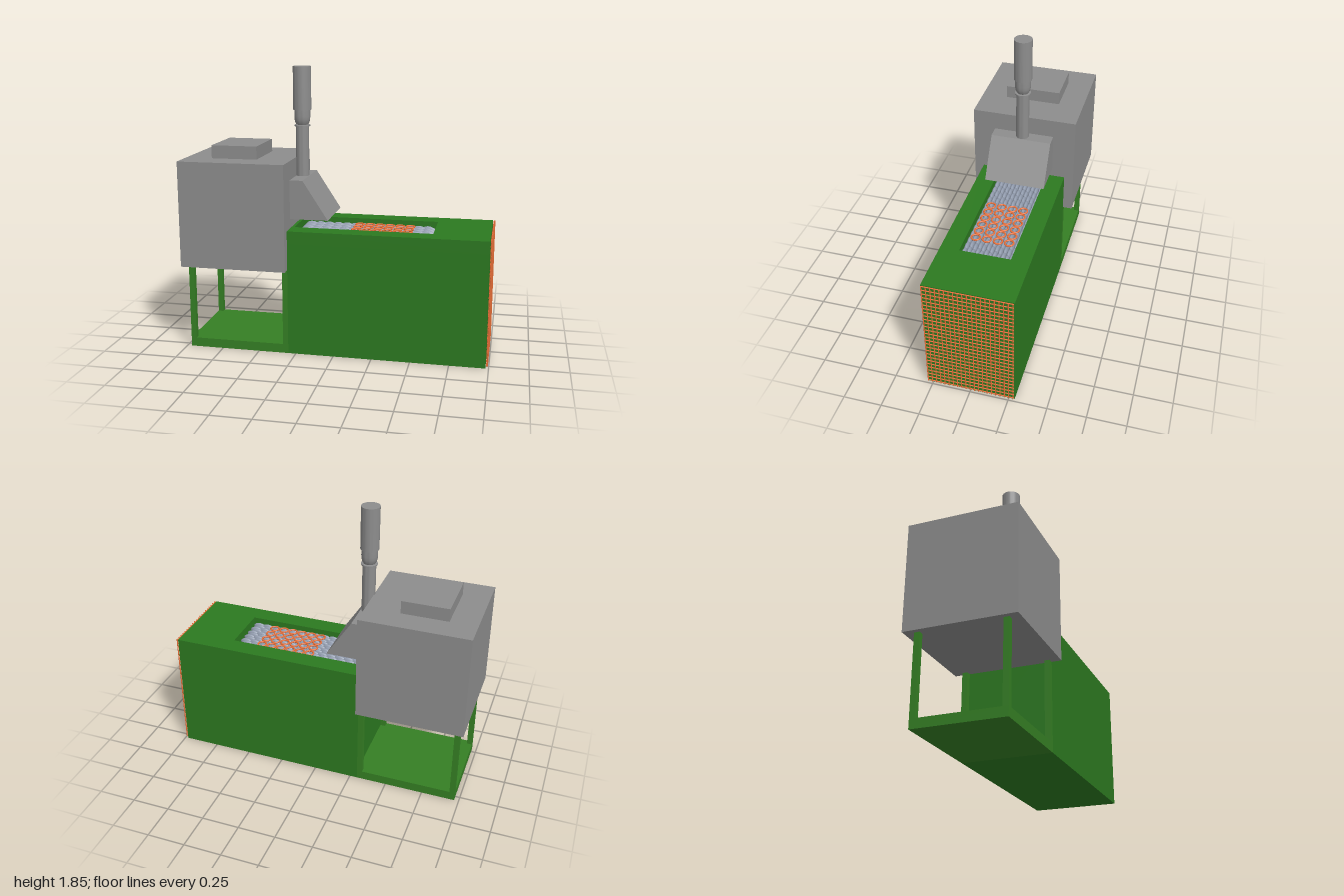
import * as THREE from 'three';
import { mergeGeometries, toCreasedNormals } from 'three/addons/utils/BufferGeometryUtils.js';

const material = (color) => new THREE.MeshStandardMaterial({ color });

export function createModel() {
  const model = new THREE.Group();
  const grey = material(0x8d8d8d);
  const green = material(0x2c7920);
  const lightGreen = material(0x357f24);
  const orange = material(0xec7038);
  const steel = material(0x929cae);

  const add = (name, geometry, mat) => {
    const mesh = new THREE.Mesh(geometry, mat);
    mesh.name = name;
    model.add(mesh);
    return mesh;
  };
  // Box given by its limits on each axis
  const box = (x0, x1, y0, y1, z0, z1) =>
    new THREE.BoxGeometry(x1 - x0, y1 - y0, z1 - z0)
      .translate((x0 + x1) / 2, (y0 + y1) / 2, (z0 + z1) / 2);

  const W = 0.288; // half width of the green frame
  const P = 0.035; // post thickness

  // Base plate and the posts under the tower
  add('basePlate', box(-0.97, -0.3, 0, 0.06, -W, W), lightGreen);
  for (const x of [-0.97, -0.335]) {
    for (const z of [-W, W - P]) add('post', box(x, x + P, 0.06, 0.57, z, z + P), lightGreen);
  }

  // Cabinet body with a recessed opening in its top frame
  const floorY = 0.74, topY = 0.825;
  add('cabinetBody', box(-0.3, 0.98, 0, floorY, -W, W), green);
  const rect = (target, x0, x1, z) => {
    target.moveTo(x0, -z);
    target.lineTo(x1, -z);
    target.lineTo(x1, z);
    target.lineTo(x0, z);
    target.closePath();
    return target;
  };
  const frame = rect(new THREE.Shape(), -0.3, 0.98, W);
  frame.holes.push(rect(new THREE.Path(), -0.28, 0.622, 0.165));
  add('cabinetTopFrame', new THREE.ExtrudeGeometry(frame, { depth: topY - floorY, bevelEnabled: false })
    .rotateX(-Math.PI / 2).translate(0, floorY, 0), green);

  // Bed of slim steel links filling the opening, alternate rows staggered
  const links = [];
  for (let j = 0; j < 12; j++) {
    for (let i = 0; i < 14; i++) {
      const x = -0.235 + i * 0.061 + (j % 2) * 0.018;
      links.push(new THREE.SphereGeometry(1, 12, 8)
        .scale(0.044, 0.028, 0.0145)
        .translate(x, 0.768, (j - 5.5) * 0.0274));
    }
  }
  add('linkBed', mergeGeometries(links), steel);

  // Rings lying on the bed
  const rings = [];
  for (let i = 0; i < 6; i++) {
    for (let j = 0; j < 4; j++) {
      rings.push(new THREE.TorusGeometry(0.028, 0.0055, 8, 24)
        .rotateX(Math.PI / 2)
        .translate(0.105 + i * 0.068, 0.798, (j - 1.5) * 0.073 + 0.005));
    }
  }
  add('rings', mergeGeometries(rings), orange);

  // Fine wire mesh covering the end of the cabinet
  const wires = [];
  const wire = (length) => new THREE.CylinderGeometry(0.0036, 0.0036, length, 8);
  for (let i = 0; i <= 27; i++) {
    wires.push(wire(2 * W - 0.006).rotateX(Math.PI / 2).translate(0.987, 0.016 + i * 0.0298, 0));
  }
  for (let i = 0; i <= 20; i++) {
    wires.push(wire(0.813).translate(0.992, 0.4185, -0.28 + i * 0.028));
  }
  add('endMesh', mergeGeometries(wires), orange);

  // Tower and its cap
  add('tower', box(-1, -0.3, 0.568, 1.263, -0.35, 0.35), grey);
  add('towerCap', box(-0.825, -0.523, 1.263, 1.348, -0.185, 0.182), grey);

  // Sloped hood hung on the tower over the opening
  const hood = new THREE.Shape([
    [-0.3, 0.886], [-0.05, 0.886], [-0.215, 1.14], [-0.3, 1.14],
  ].map(([x, y]) => new THREE.Vector2(x, y)));
  add('hood', new THREE.ExtrudeGeometry(hood, { depth: 0.404, bevelEnabled: false })
    .translate(0, 0, -0.202), grey);

  // Chimney: pipe, thin collar, rounded neck and wide top
  const chimney = new THREE.LatheGeometry([
    [0, 1.13], [0.043, 1.13], [0.043, 1.466], [0.052, 1.466], [0.052, 1.474],
    [0.038, 1.476], [0.046, 1.49], [0.051, 1.51], [0.052, 1.53], [0.052, 1.572],
    [0.059, 1.572], [0.059, 1.852], [0, 1.852],
  ].map(([x, y]) => new THREE.Vector2(x, y)), 36);
  add('chimney', toCreasedNormals(chimney, 0.6).translate(-0.262, 0, 0), grey);

  return model;
}
